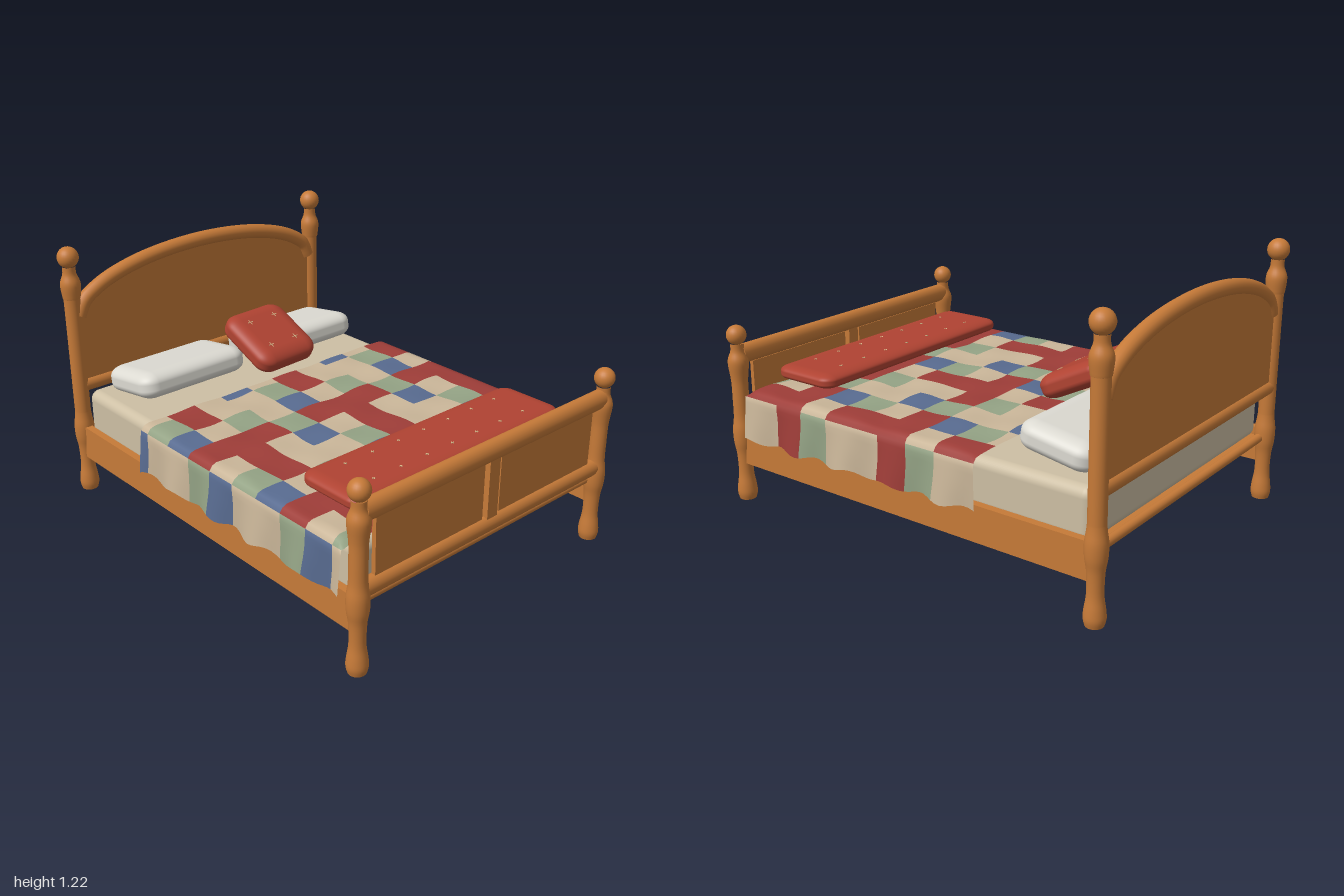
import * as THREE from 'three';
import { RoundedBoxGeometry } from 'three/addons/geometries/RoundedBoxGeometry.js';

const mat = (name, color, side = THREE.FrontSide) => {
  const m = new THREE.MeshStandardMaterial({ color, side });
  m.name = name;
  return m;
};

export function createModel() {
  const bed = new THREE.Group();
  bed.name = 'bed';
  const wood = mat('wood', 0xc67a38);
  const sheet = mat('sheet', 0xcdbfa4);
  const white = mat('pillowWhite', 0xdcdad2);
  const cushionRed = mat('cushionRed', 0xb04332);
  const thread = mat('thread', 0xd8b98a);
  const tan = mat('quiltTan', 0xcab699, THREE.DoubleSide);
  const red = mat('quiltRed', 0x9e3d38, THREE.DoubleSide);
  const green = mat('quiltGreen', 0x94a385, THREE.DoubleSide);
  const blue = mat('quiltBlue', 0x586b90, THREE.DoubleSide);

  const add = (name, geo, material, x = 0, y = 0, z = 0, parent = bed) => {
    const m = new THREE.Mesh(geo, material);
    m.name = name;
    m.position.set(x, y, z);
    parent.add(m);
    return m;
  };
  const box = (name, w, h, d, x, y, z, material = wood) =>
    add(name, new THREE.BoxGeometry(w, h, d), material, x, y, z);
  // Horizontal rail across the bed with an oval section
  const rail = (name, ry, rz, y, z, len = 1.4) => {
    const g = new THREE.CylinderGeometry(1, 1, len, 24);
    g.rotateZ(Math.PI / 2);
    g.scale(1, ry, rz);
    add(name, g, wood, 0, y, z);
  };

  // Turned posts with ball finials
  const post = (name, x, z, top, ballR) => {
    const g = new THREE.Group();
    g.name = name;
    g.position.set(x, 0, z);
    bed.add(g);
    const curve = new THREE.SplineCurve([
      [0.038, 0], [0.045, 0.03], [0.042, 0.07], [0.034, 0.13], [0.036, 0.22], [0.045, 0.28],
      [0.046, 0.34], [0.038, 0.40], [0.037, 0.48], [0.037, top - 0.19], [0.04, top - 0.15],
      [0.046, top - 0.10], [0.044, top - 0.07], [0.031, top - 0.035], [0.03, top],
    ].map(([r, y]) => new THREE.Vector2(r, y)));
    const profile = [new THREE.Vector2(0, 0), new THREE.Vector2(0.038, 0), ...curve.getPoints(56)];
    add('turnedPost', new THREE.LatheGeometry(profile, 24), wood, 0, 0, 0, g);
    add('finial', new THREE.SphereGeometry(ballR, 24, 16), wood, 0, top + ballR * 0.85, 0, g);
  };
  for (const s of [-1, 1]) {
    post(s > 0 ? 'footPostLeft' : 'footPostRight', s * 0.715, 0.95, 0.745, 0.045);
    post(s > 0 ? 'headPostLeft' : 'headPostRight', s * 0.715, -0.95, 1.125, 0.049);
    box('sideRail', 0.036, 0.16, 1.86, s * 0.716, 0.26, 0);
    box('footPanel', 0.59, 0.25, 0.02, s * 0.344, 0.52, 0.95);
  }

  // Footboard
  rail('footTopRail', 0.045, 0.036, 0.69, 0.95);
  rail('footLowerRail', 0.038, 0.034, 0.362, 0.95);
  box('footStile', 0.06, 0.27, 0.04, 0, 0.52, 0.95);
  rail('footBaseRail', 0.02, 0.02, 0.3, 0.93, 1.36);

  // Headboard: lower rails, arched panel and arched moulding
  rail('headPanelRail', 0.034, 0.034, 0.54, -0.95);
  rail('headBaseRail', 0.02, 0.02, 0.3, -0.94, 1.36);
  const half = [[0.69, 0.885], [0.655, 0.95], [0.6, 0.99], [0.5, 1.035], [0.3, 1.083]];
  const archPts = [...half.map(([x, y]) => [-x, y]), [0, 1.105], ...half.slice().reverse()]
    .map(([x, y]) => new THREE.Vector3(x, y, 0));
  const arch = new THREE.CatmullRomCurve3(archPts);
  add('headArch', new THREE.TubeGeometry(arch, 64, 0.035, 16), wood, 0, 0, -0.945);
  for (const t of [0, 1]) {
    const cap = add('archEnd', new THREE.CircleGeometry(0.035, 16), wood);
    const p = arch.getPoint(t), d = arch.getTangent(t).multiplyScalar(t ? 1 : -1);
    cap.position.set(p.x, p.y, -0.945);
    cap.quaternion.setFromUnitVectors(new THREE.Vector3(0, 0, 1), d);
  }
  const panel = new THREE.Shape([
    new THREE.Vector2(0.69, 0.54), ...arch.getPoints(40).reverse().map(p => new THREE.Vector2(p.x, p.y)),
    new THREE.Vector2(-0.69, 0.54),
  ]);
  add('headPanel', new THREE.ExtrudeGeometry(panel, { depth: 0.03, bevelEnabled: false }), wood, 0, 0, -0.965);

  // Bed base and mattress
  box('bedBase', 1.41, 0.02, 1.86, 0, 0.292, 0);
  add('mattress', new RoundedBoxGeometry(1.4, 0.225, 1.83, 5, 0.045), sheet, 0, 0.413, 0);

  // Patchwork quilt: a grid bent over the mattress sides, coloured by patch
  const palette = [tan, red, green, blue];
  const T = 0, R = 1, G = 2, B = 3;
  const pattern = [[G, R, T, T], [B, T, G, T], [R, R, R, G], [T, R, T, B]];
  const nu = 76, k0 = -2, nv = 52, du = 0.025, pitch = 0.149, dv = pitch / 6;
  const pos = [], faces = [[], [], [], []];
  for (let j = 0; j <= nv; j++) for (let i = 0; i <= nu; i++) {
    const u = (i - nu / 2) * du, z = -0.355 + (k0 + j) * dv;
    const s = Math.sign(u), a = Math.abs(u), flat = 0.702, r = 0.042, arc = r * Math.PI / 2;
    let x, y;
    if (a < flat) {
      x = a;
      y = 0.541 + 0.004 * Math.sin(u * 19 + z * 7) * Math.sin(z * 17 - u * 5);
    } else if (a < flat + arc) {
      const t = (a - flat) / r;
      x = flat + r * Math.sin(t);
      y = 0.54 - r + r * Math.cos(t);
    } else {
      const drop = a - flat - arc;
      x = flat + r + drop * 0.08 * (0.6 + Math.sin(z * 23 + s));
      y = 0.54 - r - drop + drop * 0.05 * Math.sin(z * 31);
    }
    const edge = Math.max(0, z - 0.84) / 0.05;
    if (a < flat + 0.03) y -= 0.02 * edge * edge;
    pos.push(s * x + (a < 0.66 ? 0.005 * Math.sin(z * 22) : 0), y,
      z + (j > 0 && j < nv ? 0.005 * Math.sin(u * 21) : 0));
  }
  for (let j = 0; j < nv; j++) for (let i = 0; i < nu; i++) {
    const u = Math.max(-0.89, Math.min(0.89, (i + 0.5 - nu / 2) * du));
    const col = (Math.floor((u + 0.75) / 0.15) + 4) % 4;
    const row = (Math.floor((k0 + j + 0.5) / 6) + 4) % 4;
    const a = j * (nu + 1) + i, b = a + nu + 1;
    faces[pattern[row][col]].push(a, b, a + 1, b, b + 1, a + 1);
  }
  const quilt = new THREE.BufferGeometry();
  quilt.setAttribute('position', new THREE.Float32BufferAttribute(pos, 3));
  quilt.setIndex(faces.flat());
  let start = 0;
  faces.forEach((f, m) => { quilt.addGroup(start, f.length, m); start += f.length; });
  quilt.computeVertexNormals();
  add('quilt', quilt, palette);

  // Quilt corner poking out below the base
  const corner = new THREE.BufferGeometry();
  corner.setAttribute('position', new THREE.Float32BufferAttribute(
    [-0.63, 0.285, 0.88, -0.47, 0.21, 0.66, -0.58, 0.285, 0.38], 3));
  corner.computeVertexNormals();
  add('quiltCorner', corner, green);

  // Pillows: rounded slabs squashed in height so their outline corners stay soft
  const pillow = (name, w, h, d, r, material, x, y, z, tilt = 0, yaw = 0) => {
    const g = new RoundedBoxGeometry(w, r * 2.6, d, 6, r);
    g.scale(1, h / (r * 2.6), 1);
    const m = add(name, g, material, x, y, z);
    m.rotation.set(tilt, yaw, 0, 'YXZ');
    return m;
  };
  for (const s of [-1, 1])
    pillow('pillow', 0.58, 0.125, 0.35, 0.075, white, s * 0.342, 0.605, -0.685, -0.16);
  const cushion = pillow('throwCushion', 0.345, 0.11, 0.345, 0.07, cushionRed, 0.045, 0.718, -0.475, 0.46, 0.06);
  const bolster = pillow('footBolster', 1.22, 0.066, 0.33, 0.06, cushionRed, 0, 0.607, 0.662);

  // Small stitched crosses on the cushions
  const cross = (parent, x, y, z, size) => {
    add('stitch', new THREE.BoxGeometry(size, 0.003, 0.003), thread, x, y, z, parent);
    add('stitch', new THREE.BoxGeometry(0.003, 0.003, size), thread, x, y, z, parent);
  };
  for (const z of [-0.08, 0.08]) {
    for (const x of [-0.075, 0.075]) cross(cushion, x, 0.0555, z, 0.03);
    for (let i = -3; i <= 3; i++) cross(bolster, i * 0.147, 0.0335, z, 0.015);
  }
  return bed;
}
